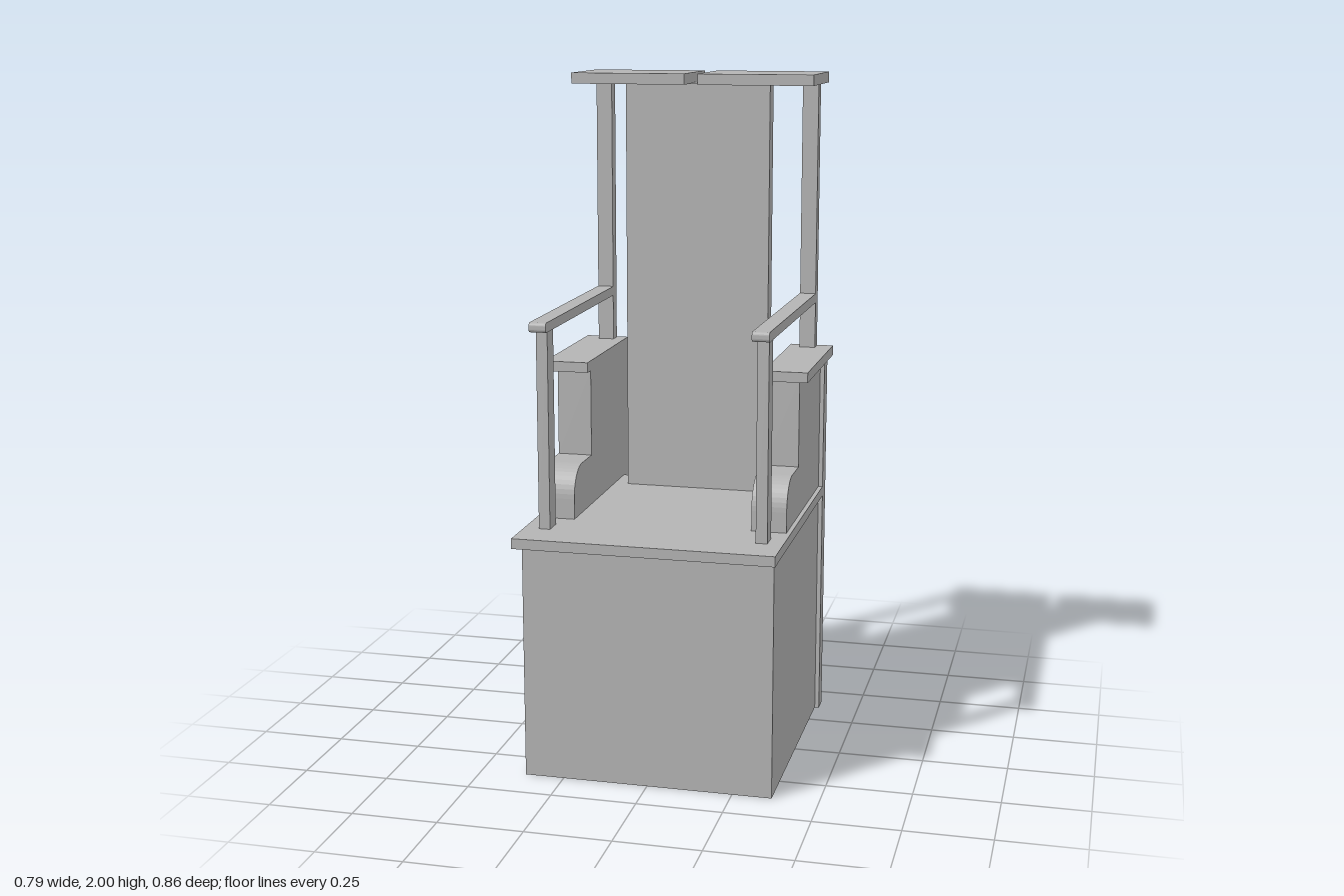
import * as THREE from 'three';

const wood = new THREE.MeshStandardMaterial({ color: 0xb4b4b4 });
wood.name = 'plain grey';

export function createModel() {
  const model = new THREE.Group();
  model.name = 'highSeat';

  const add = (name, geometry) => {
    const mesh = new THREE.Mesh(geometry, wood);
    mesh.name = name;
    model.add(mesh);
    return mesh;
  };

  // Box given by its limits on each axis
  const box = (name, x0, x1, y0, y1, z0, z1) => {
    const mesh = add(name, new THREE.BoxGeometry(x1 - x0, y1 - y0, z1 - z0));
    mesh.position.set((x0 + x1) / 2, (y0 + y1) / 2, (z0 + z1) / 2);
    return mesh;
  };

  // The same box on the left (+x) or right (-x)
  const sideBox = (s, name, x0, x1, ...rest) =>
    s > 0 ? box(name, x0, x1, ...rest) : box(name, -x1, -x0, ...rest);

  // Profile drawn in (z, y), extruded across x and centred on x
  const extrudeAcross = (name, shape, x, width, curveSegments) => {
    const geometry = new THREE.ExtrudeGeometry(shape, { depth: width, bevelEnabled: false, curveSegments });
    geometry.translate(0, 0, -width / 2);
    geometry.rotateY(-Math.PI / 2);
    const mesh = add(name, geometry);
    mesh.position.x = x;
    return mesh;
  };

  // Base, seat board and tall backrest
  box('base', -0.365, 0.365, 0, 0.7, -0.355, 0.375);
  box('seatBoard', -0.378, 0.378, 0.7, 0.73, -0.356, 0.43);
  box('backrest', -0.22, 0.22, 0.73, 1.97, -0.3, -0.248);

  // Stepped arm panel with a rounded front
  const armShape = new THREE.Shape();
  armShape.moveTo(-0.355, 0.73);
  armShape.lineTo(0.193, 0.73);
  armShape.lineTo(0.193, 0.79);
  armShape.absellipse(0.113, 0.79, 0.08, 0.09, 0, Math.PI / 2, false);
  armShape.lineTo(0.01, 0.88);
  armShape.lineTo(0.01, 1.137);
  armShape.lineTo(-0.355, 1.137);
  armShape.closePath();

  // Handrail bar with a rounded front end
  const railShape = new THREE.Shape();
  railShape.moveTo(-0.37, 1.306);
  railShape.lineTo(0.343, 1.306);
  railShape.absarc(0.343, 1.316, 0.01, -Math.PI / 2, 0, false);
  railShape.lineTo(0.353, 1.324);
  railShape.absarc(0.343, 1.324, 0.01, 0, Math.PI / 2, false);
  railShape.lineTo(-0.37, 1.334);
  railShape.closePath();

  for (const s of [1, -1]) {
    const side = s > 0 ? 'left' : 'right';
    sideBox(s, side + 'RearPost', 0.263, 0.378, 0, 1.137, -0.407, -0.355);
    extrudeAcross(side + 'ArmPanel', armShape, s * 0.314, 0.102, 5);
    sideBox(s, side + 'ArmCap', 0.263, 0.394, 1.137, 1.167, -0.412, 0.043);

    // Handrail, drawn in very slightly towards the front
    const rail = extrudeAcross(side + 'Handrail', railShape, s * 0.3185, 0.049, 4);
    rail.rotation.y = -s * 0.006;
    sideBox(s, side + 'HandrailPost', 0.3, 0.333, 0.73, 1.308, 0.257, 0.313);

    // Roof support and half of the split roof
    sideBox(s, side + 'RoofPost', 0.297, 0.345, 1.167, 1.97, -0.404, -0.365);
    sideBox(s, side + 'RoofPanel', 0.02, 0.364, 1.968, 2, -0.433, -0.161);
  }

  return model;
}
